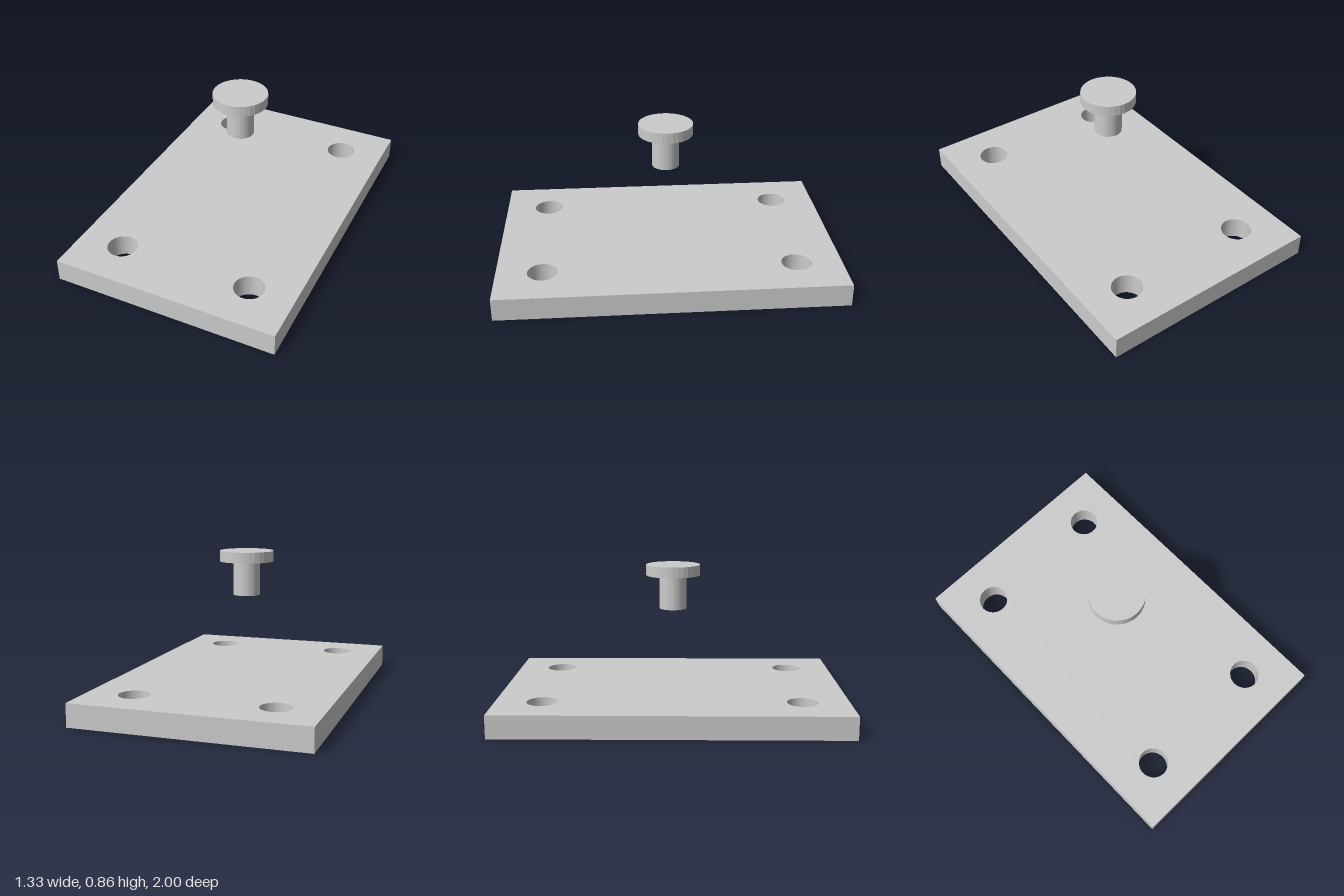
import * as THREE from 'three';

const HOLE_RADIUS = 0.088;
const PLATE_HEIGHT = 0.1333;

export function createModel() {
  const model = new THREE.Group();
  model.name = 'plateAndPin';
  const metal = new THREE.MeshStandardMaterial({ color: 0xcccccc, flatShading: true });
  metal.name = 'light grey metal';

  const add = (name, geometry, parent) => {
    const mesh = new THREE.Mesh(geometry, metal);
    mesh.name = name;
    parent.add(mesh);
    return mesh;
  };

  // Base plate with four corner holes
  const outline = new THREE.Shape([
    new THREE.Vector2(-0.6667, -1), new THREE.Vector2(0.6667, -1),
    new THREE.Vector2(0.6667, 1), new THREE.Vector2(-0.6667, 1),
  ]);
  for (const x of [-0.4, 0.4]) {
    for (const z of [-0.7333, 0.7333]) {
      outline.holes.push(new THREE.Path().absarc(x, z, HOLE_RADIUS, 0, Math.PI * 2, true));
    }
  }
  const plate = new THREE.ExtrudeGeometry(outline, {
    depth: PLATE_HEIGHT, bevelEnabled: false, curveSegments: 32,
  });
  plate.rotateX(-Math.PI / 2);
  add('basePlate', plate, model);

  // Headed pin hovering above the plate: one closed turned profile
  const profile = [[0, 0.6], [0.08, 0.6], [0.08, 0.8], [0.16, 0.8], [0.16, 0.8627], [0, 0.8627]]
    .map(([r, y]) => new THREE.Vector2(r, y));
  add('headedPin', new THREE.LatheGeometry(profile, 32), model);

  return model;
}
